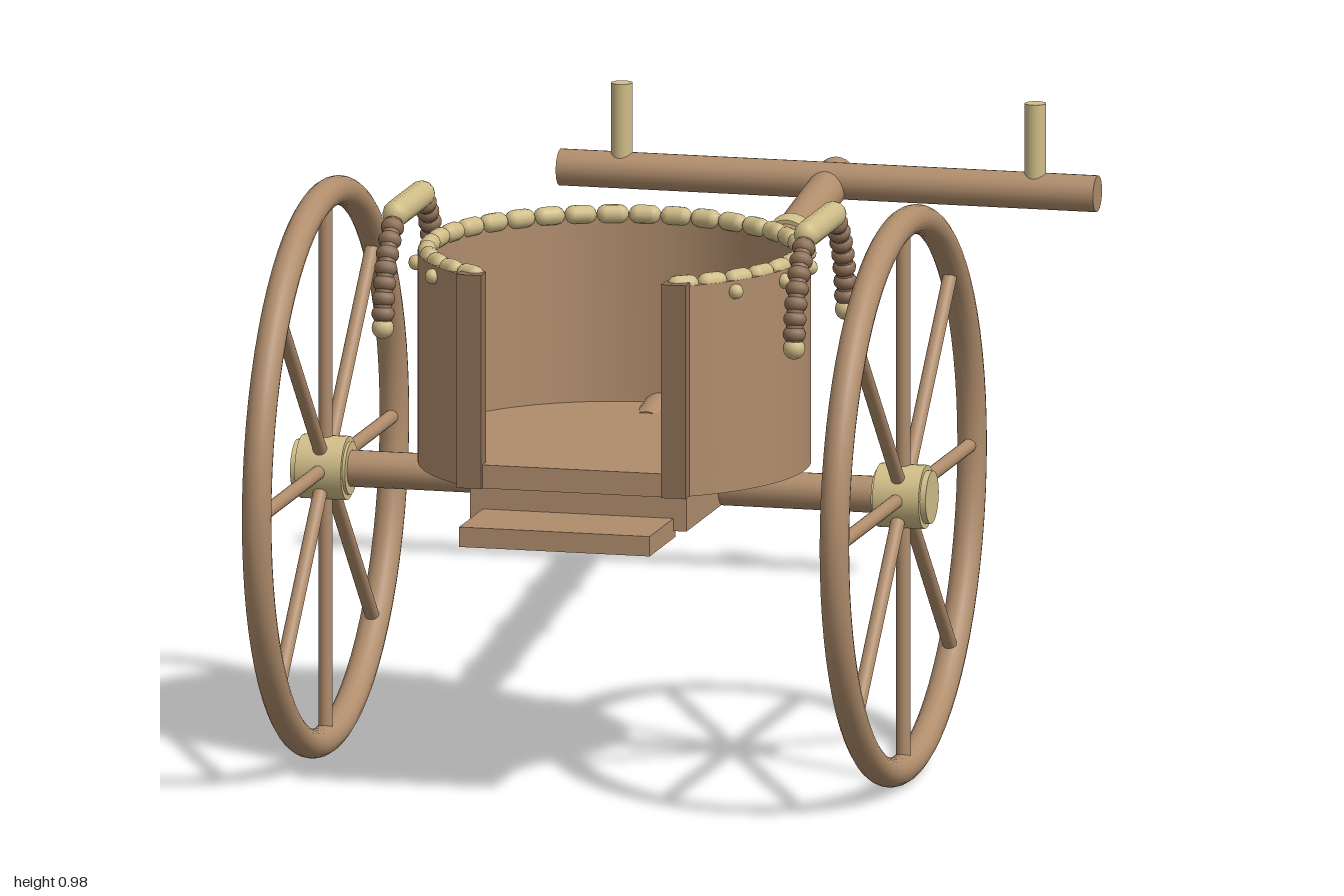
import * as THREE from 'three';
import { toCreasedNormals } from 'three/addons/utils/BufferGeometryUtils.js';

const wood = new THREE.MeshStandardMaterial({ color: 0xb08d6c });
const darkWood = new THREE.MeshStandardMaterial({ color: 0x8e7058 });
const brass = new THREE.MeshStandardMaterial({ color: 0xd0bd88 });

const V = (x, y, z) => new THREE.Vector3(x, y, z);
const UP = V(0, 1, 0);
const CZ = 0.51;        // z of axle and cab centre
const AXLE_Y = 0.495;
const R = 0.33;         // cab radius
const GAP = 0.54;       // half angle of the front doorway

function add(parent, name, geo, mat, pos = V(0, 0, 0)) {
  const m = new THREE.Mesh(geo, mat);
  m.name = name;
  m.position.copy(pos);
  parent.add(m);
  return m;
}

function group(parent, name) {
  const g = new THREE.Group();
  g.name = name;
  parent.add(g);
  return g;
}

// Straight round bar from a to b
function rod(parent, name, a, b, r, mat, capsule = false) {
  const len = a.distanceTo(b);
  const geo = capsule ? new THREE.CapsuleGeometry(r, Math.max(len - 2 * r, 0.001), 4, 12)
    : new THREE.CylinderGeometry(r, r, len, 24);
  const m = add(parent, name, geo, mat, a.clone().add(b).multiplyScalar(0.5));
  m.quaternion.setFromUnitVectors(UP, b.clone().sub(a).normalize());
  return m;
}

// Plan shape extruded upward from y0 to y1
function slab(shape, y0, y1) {
  const geo = new THREE.ExtrudeGeometry(shape, { depth: y1 - y0, bevelEnabled: false, curveSegments: 64 });
  geo.rotateX(Math.PI / 2);
  geo.translate(0, y1, CZ);
  return toCreasedNormals(geo, 0.5);
}

function buildCab(root) {
  const cab = group(root, 'cab');
  const a0 = Math.PI / 2 + GAP, a1 = Math.PI * 2.5 - GAP;

  const wall = new THREE.Shape();
  wall.absarc(0, 0, R, a0, a1, false);
  wall.absarc(0, 0, R - 0.02, a1, a0, true);
  add(cab, 'wall', slab(wall, 0.57, 0.89), wood);

  const floor = new THREE.Shape();
  floor.absarc(0, 0, R, a0, a1, false);
  add(cab, 'floor', slab(floor, 0.53, 0.57), wood);

  // Door posts
  for (const s of [-1, 1]) {
    add(cab, 'doorPost', new THREE.BoxGeometry(0.042, 0.365, 0.035), darkWood, V(s * 0.177, 0.713, 0.785));
  }

  // Beaded rim
  const rim = group(cab, 'rim');
  const n = 30, step = (a1 - a0) / n;
  const at = (a, r, y) => V(Math.cos(a) * r, y, CZ + Math.sin(a) * r);
  for (let i = 0; i < n; i++) {
    rod(rim, 'rimBead', at(a0 + i * step, 0.315, 0.89), at(a0 + (i + 1) * step, 0.315, 0.89), 0.016, brass, true);
  }

  // Studs below the rim
  for (let i = -6; i <= 6; i++) {
    add(cab, 'stud', new THREE.SphereGeometry(0.013, 12, 8), brass, at(-Math.PI / 2 + i * 0.372, R + 0.003, 0.872));
  }

  // Round boss on the closed end
  rod(cab, 'boss', V(0, 0.70, 0.165), V(0, 0.70, 0.19), 0.066, brass);

  // Block under the floor and boarding step
  add(cab, 'underBlock', new THREE.BoxGeometry(0.375, 0.065, 0.45), wood, V(0, 0.498, 0.53));
  add(cab, 'step', new THREE.BoxGeometry(0.33, 0.034, 0.175), wood, V(0, 0.47, 0.828));
}

function buildWheel(root, s) {
  const wheel = group(root, s > 0 ? 'leftWheel' : 'rightWheel');
  wheel.position.set(s * 0.5, AXLE_Y, CZ);
  const tire = add(wheel, 'wheelRim', new THREE.TorusGeometry(0.465, 0.025, 16, 72), wood);
  tire.rotation.y = Math.PI / 2;
  for (let i = 0; i < 8; i++) {
    const a = i * Math.PI / 4;
    rod(wheel, 'spoke', V(0, 0, 0), V(0, Math.sin(a) * 0.46, Math.cos(a) * 0.46), 0.012, wood);
  }
  rod(wheel, 'hub', V(-0.04, 0, 0), V(0.04, 0, 0), 0.054, brass);
  rod(wheel, 'hubCap', V(-0.045, 0, 0), V(s > 0 ? 0.05 : 0.045, 0, 0), 0.045, brass);
  if (s < 0) rod(wheel, 'hubEnd', V(-0.05, 0, 0), V(0, 0, 0), 0.045, brass);
}

// Hand grip with two curved, beaded legs
function buildHandle(root, s) {
  const handle = group(root, s > 0 ? 'leftHandle' : 'rightHandle');
  const x = s * 0.356;
  rod(handle, 'grip', V(x, 0.952, CZ - 0.11), V(x, 0.952, CZ + 0.11), 0.023, brass, true);
  for (const d of [-1, 1]) {
    const curve = new THREE.QuadraticBezierCurve3(
      V(x, 0.948, CZ + d * 0.09), V(x, 0.90, CZ + d * 0.165), V(x, 0.785, CZ + d * 0.175));
    add(handle, 'leg', new THREE.TubeGeometry(curve, 20, 0.015, 12), darkWood);
    for (let i = 1; i <= 7; i++) {
      const bead = add(handle, 'legBead', new THREE.SphereGeometry(0.02, 14, 10), darkWood, curve.getPointAt(i / 7.5));
      bead.scale.y = 0.8;
      bead.quaternion.setFromUnitVectors(UP, curve.getTangentAt(i / 7.5));
    }
    add(handle, 'foot', new THREE.SphereGeometry(0.019, 14, 10), brass, V(x, 0.774, CZ + d * 0.175));
  }
}

function buildPole(root) {
  const draught = group(root, 'draughtPole');
  const a = V(0, 0.54, 0.29), b = V(0, 0.728, -0.994);
  rod(draught, 'pole', a, b, 0.033, wood);
  const dir = b.clone().sub(a).normalize();
  for (const z of [-0.025, -0.35, -0.673]) {
    const c = a.clone().lerp(b, (z - a.z) / (b.z - a.z));
    rod(draught, 'poleBand', c.clone().addScaledVector(dir, -0.018), c.clone().addScaledVector(dir, 0.018), 0.04, brass);
  }
  rod(draught, 'yoke', V(-0.465, 0.73, -0.938), V(0.465, 0.73, -0.938), 0.031, wood);
  for (const s of [-1, 1]) {
    rod(draught, 'yokePeg', V(s * 0.358, 0.74, -0.936), V(s * 0.358, 0.88, -0.936), 0.018, brass);
  }
}

export function createModel() {
  const root = new THREE.Group();
  root.name = 'chariot';
  buildCab(root);
  rod(root, 'axle', V(-0.5, AXLE_Y, CZ), V(0.5, AXLE_Y, CZ), 0.031, wood);
  for (const s of [-1, 1]) {
    buildWheel(root, s);
    buildHandle(root, s);
  }
  buildPole(root);
  return root;
}
